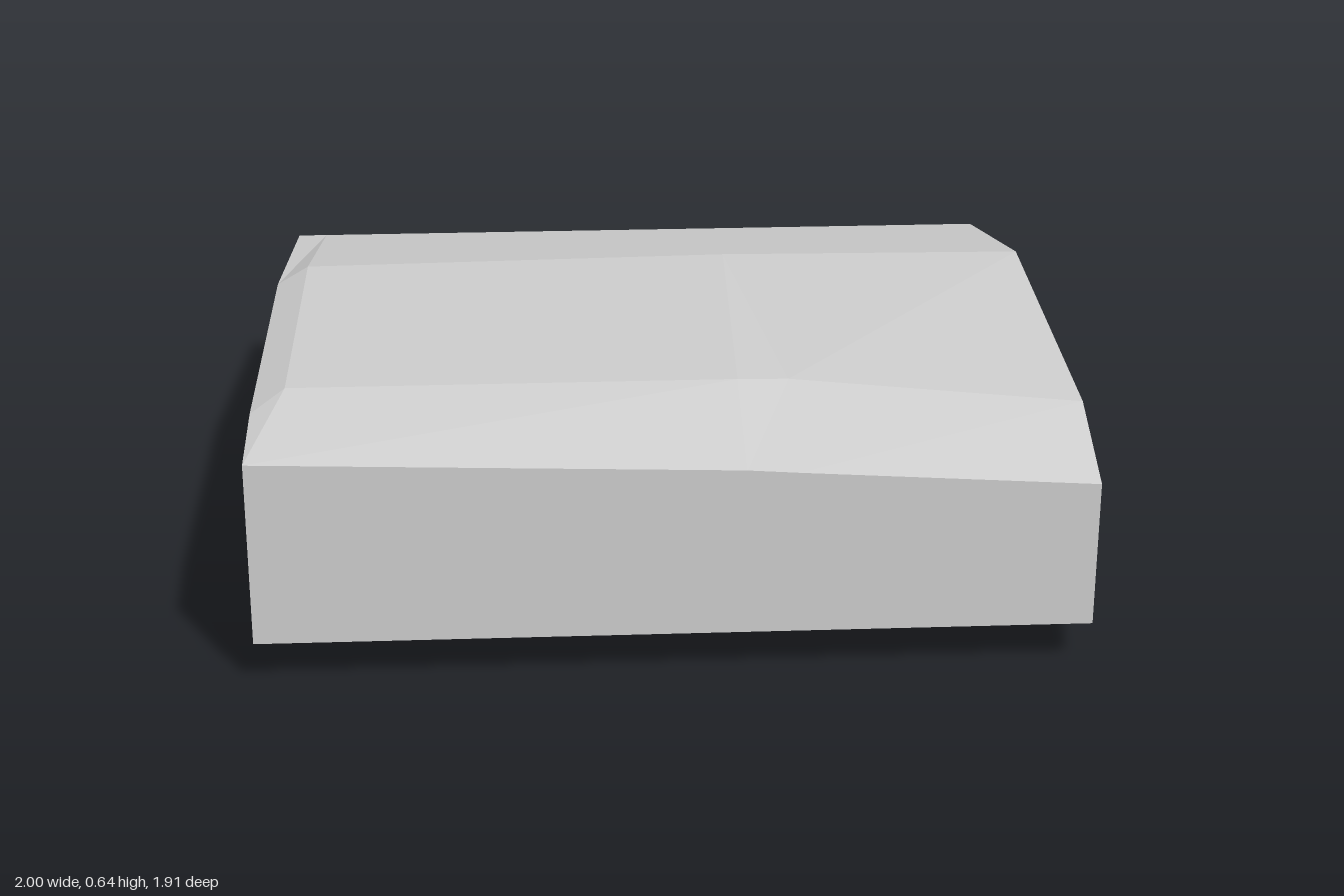
import * as THREE from 'three';

const F = 0.957; // half depth

// Cross-sections running left to right, ordered from front to back: [x, y, z]
const topRows = [
  [[-1, 0.57, F], [-1, 0.57, F], [0.165, 0.53, F], [0.29, 0.521, F], [1, 0.475, F]],
  [[-1, 0.602, 0.725], [-0.92, 0.64, 0.66], [0.165, 0.64, 0.66], [0.29, 0.63, 0.64], [1, 0.58, 0.7]],
  [[-1, 0.602, -0.18], [-0.92, 0.64, -0.21], [0.2, 0.64, -0.25], [0.2, 0.64, -0.25], [1, 0.64, -0.23]],
  [[-1, 0.475, -F], [-0.92, 0.475, -F], [0.2, 0.475, -F], [0.2, 0.475, -F], [1, 0.475, -F]],
];
const bottomHeights = [
  [0.11, 0.11, 0.11, 0.11, 0.11],
  [0.06, 0, 0, 0, 0.035],
  [0.06, 0, 0, 0, 0.035],
  [0.11, 0.11, 0.11, 0.11, 0.11],
];
const bottomX = [-1, -0.92, 0.1, 0.45, 1];
const bottomZ = [F, 0.7, -0.23, -F];
const bottomRows = bottomHeights.map((row, r) => row.map((y, c) => [bottomX[c], y, bottomZ[r]]));

// Skins a list of point rows with flat facets
function skin(rows, flip = false) {
  const pos = [];
  const tri = (a, b, c) => pos.push(...a, ...(flip ? c : b), ...(flip ? b : c));
  for (let r = 0; r + 1 < rows.length; r++) {
    for (let c = 0; c + 1 < rows[r].length; c++) {
      const a = rows[r][c], b = rows[r][c + 1], d = rows[r + 1][c + 1], e = rows[r + 1][c];
      tri(a, b, d);
      tri(a, d, e);
    }
  }
  const geometry = new THREE.BufferGeometry();
  geometry.setAttribute('position', new THREE.Float32BufferAttribute(pos, 3));
  geometry.computeVertexNormals();
  return geometry;
}

export function createModel() {
  const group = new THREE.Group();
  group.name = 'stoneSlab';
  const stone = new THREE.MeshStandardMaterial({ color: 0xcccccc });
  stone.name = 'stone grey';

  const add = (name, geometry) => {
    const mesh = new THREE.Mesh(geometry, stone);
    mesh.name = name;
    group.add(mesh);
  };
  const column = (rows, c) => rows.map((row) => row[c]);

  // Worn top and chamfered underside
  add('topSurface', skin(topRows));
  add('underside', skin(bottomRows, true));

  // Flat walls joining the two
  add('frontWall', skin([bottomRows[0], topRows[0]]));
  add('backWall', skin([bottomRows[3], topRows[3]], true));
  add('leftWall', skin([column(bottomRows, 4), column(topRows, 4)]));
  add('rightWall', skin([column(bottomRows, 0), column(topRows, 0)], true));

  return group;
}
